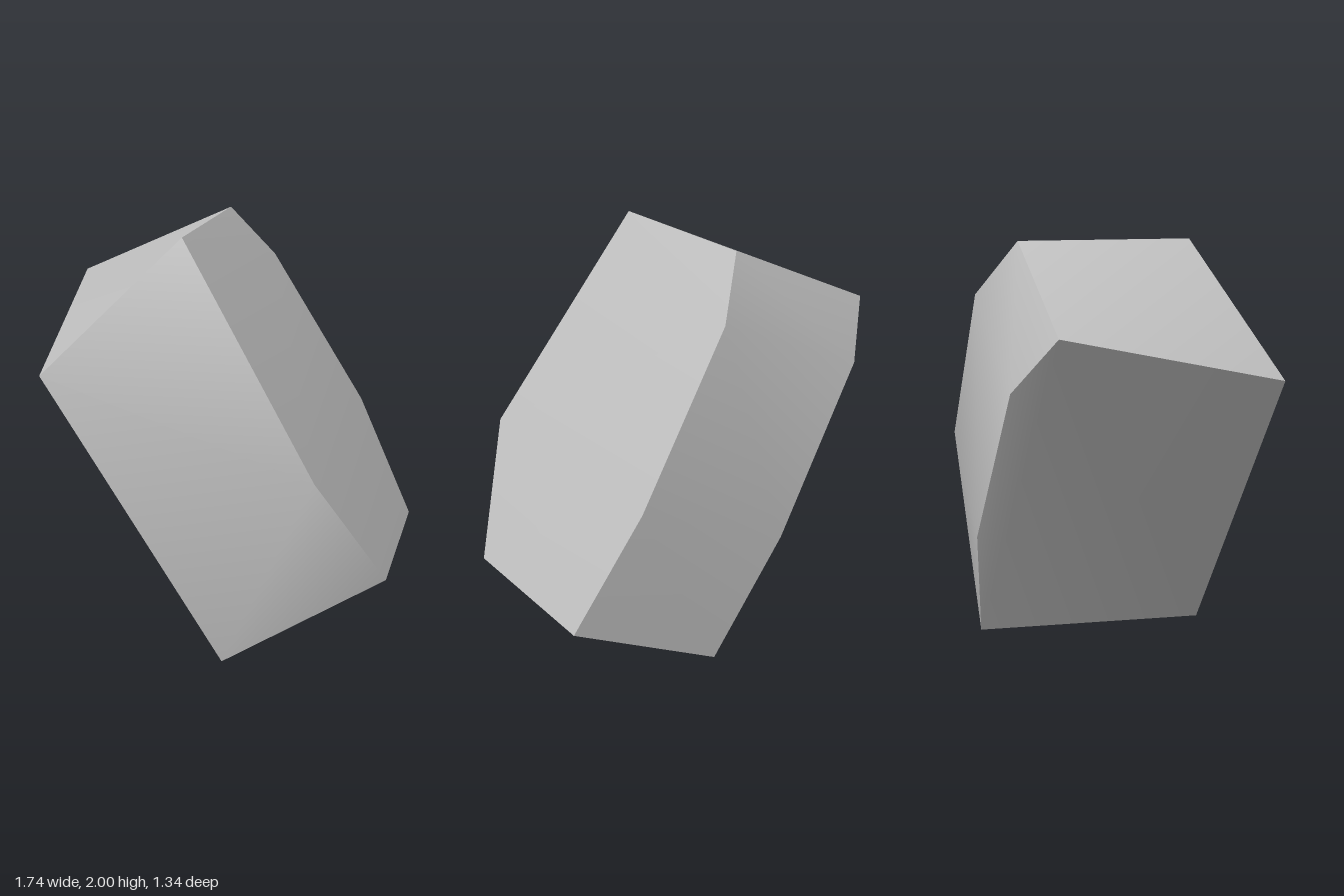
import * as THREE from 'three';
import { ConvexGeometry } from 'three/addons/geometries/ConvexGeometry.js';
import { toCreasedNormals } from 'three/addons/utils/BufferGeometryUtils.js';

export function createModel() {
  const group = new THREE.Group();
  group.name = 'rock';

  const stone = new THREE.MeshStandardMaterial({ color: 0xc0c0c0 });
  stone.name = 'stone grey';

  // Corners of the tilted convex block
  const corners = [
    // upper end
    [-0.09, 2, 0.41], [-0.09, 2, -0.43], [-0.87, 1.64, -0.43], [-0.69, 1.39, 0.665],
    // back bevel
    [0.10, 1.74, -0.60], [-0.69, 1.39, -0.60], [-0.21, 0.63, -0.67],
    // widest part of the outer side
    [0.57, 0.98, 0.62], [0.57, 0.98, -0.64],
    // lower end
    [0.865, 0.41, 0.32], [0.865, 0.41, -0.52], [0.13, 0, 0.56], [0.125, 0.04, -0.60],
  ].map((c) => new THREE.Vector3(...c));

  // Shallow bevels shade smoothly, the main edges stay sharp
  const geometry = toCreasedNormals(new ConvexGeometry(corners), THREE.MathUtils.degToRad(40));
  const block = new THREE.Mesh(geometry, stone);
  block.name = 'stoneBlock';
  group.add(block);
  return group;
}
